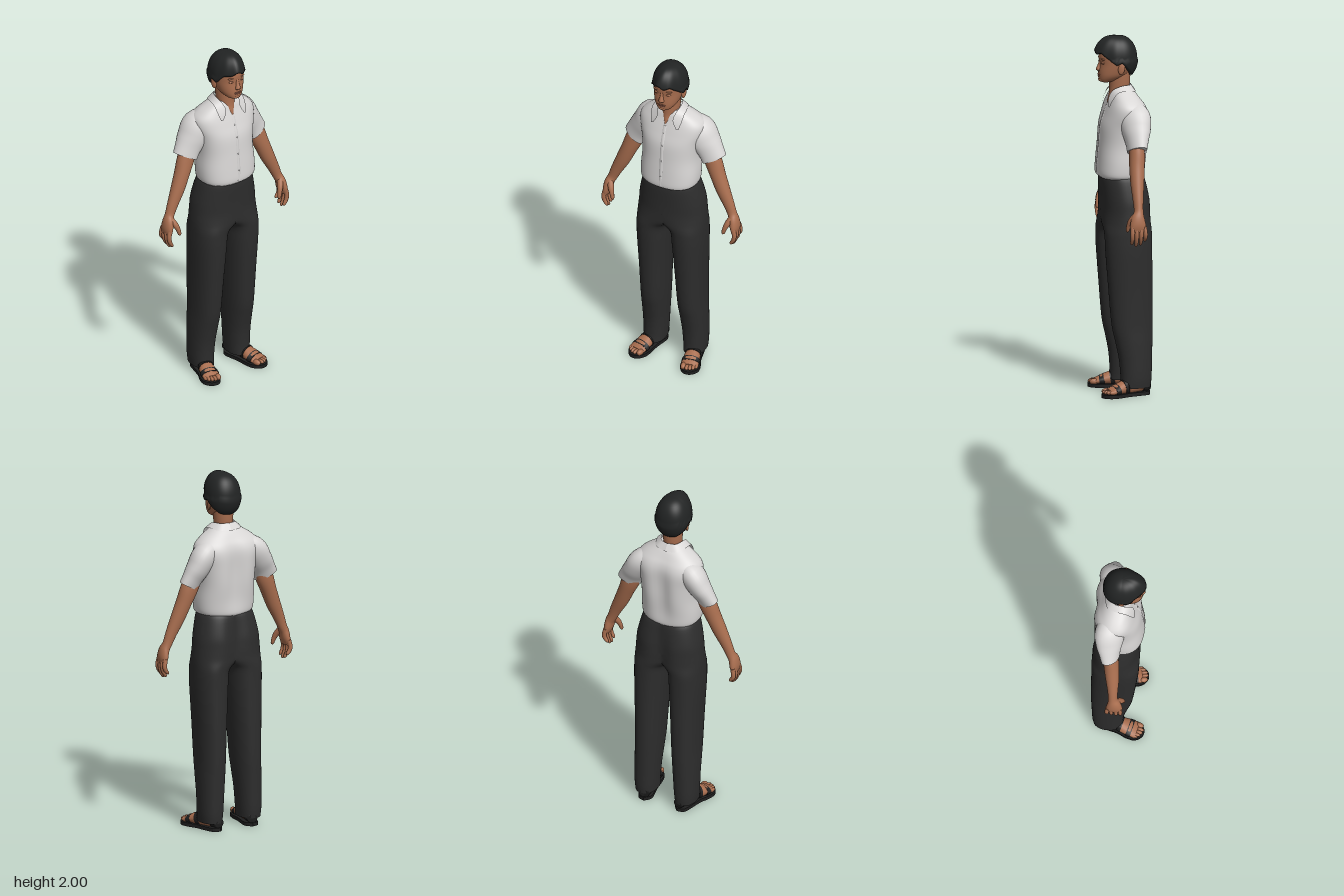
import * as THREE from 'three';

const V3 = (x, y, z) => new THREE.Vector3(x, y, z);
const mat = (name, color, side = THREE.FrontSide) => {
  const m = new THREE.MeshStandardMaterial({ color, side });
  m.name = name;
  return m;
};
const power = (v, p) => Math.sign(v) * Math.abs(v) ** (2 / p);

// Smooth capped loft. Rows are [x, y, z, radiusU, radiusV].
function loft(rows, { n = 28, sub = 4, p = 2, axis = V3(0, 0, 1), flat = false, rule } = {}) {
  const path = new THREE.CatmullRomCurve3(rows.map(r => V3(r[0], r[1], r[2])), false, 'catmullrom', 0.5);
  const size = new THREE.CatmullRomCurve3(rows.map(r => V3(r[3], r[4], 0)), false, 'catmullrom', 0.5);
  const pos = [], idx = [], count = (rows.length - 1) * sub;
  for (let i = 0; i <= count; i++) {
    const t = i / count, c = path.getPoint(t), s = size.getPoint(t);
    const T = path.getPoint(Math.min(1, t + 0.02)).sub(path.getPoint(Math.max(0, t - 0.02)));
    if (flat) T.set(0, Math.sign(T.y), 0);
    T.normalize();
    const V = axis.clone().addScaledVector(T, -axis.dot(T)).normalize();
    const U = V3().crossVectors(V, T);
    for (let j = 0; j < n; j++) {
      const a = j / n * Math.PI * 2;
      const q = c.clone().addScaledVector(U, power(Math.cos(a), p) * s.x).addScaledVector(V, power(Math.sin(a), p) * s.y);
      if (rule) rule(q);
      pos.push(q.x, q.y, q.z);
    }
  }
  for (let i = 0; i < count; i++) for (let j = 0; j < n; j++) {
    const a = i * n + j, b = i * n + (j + 1) % n;
    idx.push(a, b, a + n, b, b + n, a + n);
  }
  // end caps with their own vertices
  for (const i of [0, count]) {
    const base = pos.length / 3, c = path.getPoint(i / count);
    for (let k = 0; k < n * 3; k++) pos.push(pos[i * n * 3 + k]);
    pos.push(c.x, c.y, c.z);
    for (let j = 0; j < n; j++) {
      const a = base + j, b = base + (j + 1) % n;
      i ? idx.push(a, b, base + n) : idx.push(b, a, base + n);
    }
  }
  return surface(pos, idx);
}

function surface(pos, idx) {
  const g = new THREE.BufferGeometry();
  g.setAttribute('position', new THREE.Float32BufferAttribute(pos, 3));
  g.setIndex(idx);
  g.computeVertexNormals();
  return g;
}

function mirrored(geo) {
  const g = geo.clone().scale(-1, 1, 1), ix = g.index;
  for (let i = 0; i < ix.count; i += 3) {
    const b = ix.getX(i + 1);
    ix.setX(i + 1, ix.getX(i + 2));
    ix.setX(i + 2, b);
  }
  return g;
}

// Level cross-section from its extents
const span = (y, x0, x1, zf, zb) => [(x0 + x1) / 2, y, (zf + zb) / 2, (x1 - x0) / 2, (zf - zb) / 2];
const ball = (x, y, z, rx, ry, rz) => new THREE.SphereGeometry(1, 16, 12).scale(rx, ry, rz).translate(x, y, z);
// Vertical hollow down the middle of the back, deepest between two heights
const hollow = (q, depth, y0, y1) => {
  if (q.z < 0 && q.y > y0 && q.y < y1) q.z += depth * Math.exp(-((q.x / 0.055) ** 2)) * Math.sin((q.y - y0) / (y1 - y0) * Math.PI);
};

export function createModel() {
  const group = new THREE.Group();
  const skin = mat('skin', 0xa96e4f), lip = mat('lips', 0x8f5642), hair = mat('hair', 0x222424);
  const shirt = mat('shirt', 0xd8d6d5, THREE.DoubleSide), cloth = mat('trousers', 0x2d2d2d), leather = mat('sandals', 0x1f1f1f);
  const add = (name, geo, m) => {
    const mesh = new THREE.Mesh(geo, m);
    mesh.name = name;
    group.add(mesh);
  };
  const pair = (name, geo, m) => {
    add(name + 'Left', geo, m);
    add(name + 'Right', mirrored(geo), m);
  };

  // Shirt body, hollowed along the spine: [y, half width, front z, back z]
  const torso = [[1.215, 0.15, 0.128, -0.112], [1.235, 0.166, 0.142, -0.12], [1.3, 0.169, 0.139, -0.127],
    [1.4, 0.164, 0.13, -0.14], [1.5, 0.174, 0.121, -0.143], [1.57, 0.192, 0.1, -0.139], [1.615, 0.188, 0.085, -0.124],
    [1.65, 0.155, 0.073, -0.099], [1.68, 0.11, 0.064, -0.075], [1.705, 0.07, 0.05, -0.052]];
  add('shirtBody', loft(torso.map(([y, w, f, b]) => span(y, -w, w, f, b)),
    { n: 56, p: 2.4, flat: true, rule: q => hollow(q, 0.026, 1.22, 1.68) }), shirt);
  add('placket', loft(torso.slice(1, 7).map(([y, , f]) => span(y, -0.014, 0.014, f + 0.002, 0)), { n: 16, p: 5, flat: true }), shirt);
  for (const i of [2, 3, 4, 5]) add('button', ball(0, torso[i][0], torso[i][2] + 0.002, 0.004, 0.004, 0.002), shirt);

  // Sleeves, twisted so the outer side sits further back
  pair('sleeve', loft([[0.06, 1.605, -0.03, 0.05, 0.062], [0.142, 1.56, -0.037, 0.08, 0.082], [0.191, 1.495, -0.037, 0.073, 0.073],
    [0.225, 1.44, -0.032, 0.067, 0.056], [0.247, 1.397, -0.028, 0.066, 0.047]],
  { p: 2.1, rule: q => { q.z -= 0.22 * (q.x - 0.247 + (q.y - 1.397) * 0.6); } }), shirt);

  // Folded collar, as a strip between neck edge and outer edge
  const neckEdge = [[0.07, 1.617, 0.092], [0.047, 1.665, 0.084], [0.055, 1.705, 0.06], [0.062, 1.725, 0.015], [0.045, 1.728, -0.038], [0, 1.728, -0.053]];
  const outerEdge = [[0.084, 1.614, 0.089], [0.094, 1.652, 0.073], [0.098, 1.693, 0.042], [0.093, 1.7, 0], [0.068, 1.693, -0.06], [0, 1.69, -0.078]];
  const collar = [], collarIdx = [];
  const [inner, outer] = [neckEdge, outerEdge].map(e => new THREE.CatmullRomCurve3(e.map(q => V3(...q))));
  for (let i = 0; i <= 20; i++) {
    for (const c of [inner, outer]) collar.push(...c.getPoint(i / 20).toArray());
    if (i) collarIdx.push(i * 2 - 2, i * 2 - 1, i * 2, i * 2, i * 2 - 1, i * 2 + 1);
  }
  pair('collar', surface(collar, collarIdx), shirt);

  // Neck with the open throat
  add('neck', loft([span(1.625, -0.006, 0.006, 0.083, 0.06), span(1.648, -0.025, 0.025, 0.078, 0.01), span(1.68, -0.046, 0.046, 0.07, -0.035),
    span(1.73, -0.053, 0.053, 0.068, -0.046), span(1.8, -0.057, 0.057, 0.07, -0.05)], { flat: true }), skin);

  // Head
  add('head', loft([span(1.744, -0.026, 0.026, 0.115, 0.06), span(1.755, -0.044, 0.044, 0.127, 0.03), span(1.78, -0.064, 0.064, 0.13, -0.02),
    span(1.81, -0.075, 0.075, 0.129, -0.05), span(1.85, -0.083, 0.083, 0.124, -0.065), span(1.89, -0.085, 0.085, 0.126, -0.07),
    span(1.93, -0.08, 0.08, 0.116, -0.07), span(1.965, -0.055, 0.055, 0.085, -0.045), span(1.98, -0.02, 0.02, 0.04, 0)],
  { n: 36, p: 2.2, flat: true }), skin);
  add('nose', loft([[0, 1.872, 0.118, 0.007, 0.006], [0, 1.845, 0.124, 0.009, 0.009], [0, 1.82, 0.129, 0.015, 0.015],
    [0, 1.812, 0.129, 0.017, 0.014], [0, 1.804, 0.125, 0.01, 0.006]], { flat: true, n: 16 }), skin);
  add('upperLip', ball(0, 1.787, 0.127, 0.024, 0.004, 0.007), lip);
  add('lowerLip', ball(0, 1.779, 0.126, 0.019, 0.005, 0.008), lip);
  add('chin', ball(0, 1.758, 0.114, 0.028, 0.013, 0.017), skin);
  pair('eyelid', ball(0.034, 1.856, 0.113, 0.016, 0.008, 0.009), skin);
  pair('eyeLine', ball(0.034, 1.853, 0.119, 0.013, 0.0015, 0.004), lip);
  pair('brow', ball(0.035, 1.877, 0.112, 0.021, 0.005, 0.012), skin);
  pair('ear', ball(0, 0, 0, 0.008, 0.034, 0.019).rotateY(-0.3).rotateX(-0.15).translate(0.084, 1.828, 0.02), skin);

  // Hair cap whose lower edge runs from swept fringe over sideburns to nape
  const hem = [[0, 1.915], [0.55, 1.905], [0.9, 1.885], [1.3, 1.845], [1.55, 1.862], [1.9, 1.82], [2.4, 1.785], [3.2, 1.775]];
  const hemY = a => {
    const k = Math.max(1, hem.findIndex(h => h[0] >= a)), [a0, y0] = hem[k - 1], [a1, y1] = hem[k];
    return y0 + (y1 - y0) * (a - a0) / (a1 - a0);
  };
  const hairPos = [], hairIdx = [], N = 72, M = 20;
  for (let i = 0; i <= M; i++) for (let j = 0; j < N; j++) {
    const a = j / N * Math.PI * 2 - Math.PI, t = Math.min(1, i / (M - 1));
    const front = Math.max(0, Math.cos(a)), tuck = i === M ? 0.82 : 1;
    const lock = front * Math.sin(a * 9 + 1 + 2 * t);
    const low = hemY(Math.abs(a)) + 0.008 * lock;
    const polar = t * Math.acos(Math.max(-0.95, (low - 1.875) / 0.125));
    const r = (Math.sin(polar) ** 0.85) * (1 + 0.03 * t * lock) * tuck * (polar > 1.6 ? 1.05 : 1);
    const depth = 0.104 + 0.036 * front ** 3;
    hairPos.push(power(Math.sin(a), 2.2) * 0.096 * r, 1.875 + 0.125 * Math.cos(polar) + 0.01 * front * Math.sin(t * Math.PI),
      0.018 + power(Math.cos(a), 2.2) * r * depth);
  }
  for (let i = 0; i < M; i++) for (let j = 0; j < N; j++) {
    const a = i * N + j, b = i * N + (j + 1) % N;
    hairIdx.push(a, a + N, b, b, a + N, b + N);
  }
  add('hair', surface(hairPos, hairIdx), hair);

  // Arms, palms, fingers and thumbs
  pair('arm', loft([[0.21, 1.46, -0.03, 0.05, 0.04], [0.243, 1.38, -0.027, 0.052, 0.043], [0.273, 1.305, -0.02, 0.045, 0.042],
    [0.308, 1.22, -0.013, 0.041, 0.037], [0.345, 1.14, -0.008, 0.033, 0.029], [0.37, 1.08, -0.005, 0.027, 0.026],
    [0.386, 1.045, 0.002, 0.026, 0.037], [0.394, 1.005, 0.004, 0.024, 0.045], [0.398, 0.97, 0.004, 0.015, 0.042]]), skin);
  [[-0.036, 0.915], [-0.011, 0.895], [0.014, 0.888], [0.038, 0.9]].forEach(([z, tip], k) =>
    pair('finger' + (k + 1), loft([[0.398, 1.0, z * 0.9, 0.013, 0.012], [0.405, 0.962, z, 0.013, 0.012], [0.4, (tip + 0.965) / 2, z, 0.012, 0.011],
      [0.386, tip + 0.008, z, 0.009, 0.009], [0.382, tip, z, 0.003, 0.003]], { n: 12 }), skin));
  pair('thumb', loft([[0.38, 1.065, 0.008, 0.018, 0.018], [0.362, 1.03, 0.034, 0.017, 0.017], [0.35, 1.0, 0.046, 0.013, 0.013],
    [0.343, 0.972, 0.051, 0.01, 0.009], [0.342, 0.963, 0.052, 0.003, 0.003]], { n: 12 }), skin);

  // Trousers: each half runs from waist to cuff, cut flush at the middle seam
  const half = loft([span(1.235, -0.148, 0.148, 0.115, -0.105), span(1.2, -0.165, 0.165, 0.124, -0.126), span(1.1, -0.188, 0.188, 0.121, -0.148),
    span(1.03, -0.195, 0.195, 0.12, -0.152), span(0.975, -0.13, 0.199, 0.12, -0.148), span(0.93, -0.03, 0.2, 0.119, -0.145), span(0.89, 0.008, 0.2, 0.118, -0.144),
    span(0.8, 0.018, 0.199, 0.115, -0.144), span(0.6, 0.031, 0.191, 0.1, -0.147), span(0.4, 0.041, 0.186, 0.083, -0.147),
    span(0.3, 0.047, 0.187, 0.062, -0.144), span(0.2, 0.054, 0.187, 0.042, -0.141), span(0.1, 0.06, 0.186, 0.034, -0.138),
    span(0.045, 0.064, 0.182, 0.036, -0.132)],
  { n: 56, p: 2.3, flat: true, rule: q => { q.x = Math.max(0, q.x); hollow(q, 0.028, 0.86, 1.26); } });
  const at = half.attributes.position, kept = [];
  for (let i = 0; i < half.index.count; i += 3) {
    const face = [0, 1, 2].map(k => half.index.getX(i + k));
    if (face.some(v => at.getX(v) > 0)) kept.push(...face);
  }
  half.setIndex(kept);
  half.computeVertexNormals();
  for (let i = 0; i < at.count; i++) {
    const nz = half.attributes.normal.getZ(i);
    if (at.getX(i) === 0 && at.getY(i) > 0.96 && nz) half.attributes.normal.setXYZ(i, 0, 0, Math.sign(nz));
  }
  pair('trouserHalf', half, cloth);

  // Feet and sandals, modelled straight and then turned out
  const place = g => g.rotateY(0.24).translate(0.139, 0, 0.01);
  const outline = new THREE.Shape();
  outline.setFromPoints(new THREE.SplineCurve([[0, -0.148], [0.036, -0.125], [0.041, -0.06], [0.042, 0], [0.054, 0.06], [0.05, 0.11], [0.015, 0.142],
    [-0.025, 0.138], [-0.052, 0.1], [-0.054, 0.05], [-0.044, -0.02], [-0.039, -0.115], [0, -0.148]].map(q => new THREE.Vector2(q[0], -q[1]))).getPoints(48).reverse());
  const sole = new THREE.ExtrudeGeometry(outline, { depth: 0.02, bevelEnabled: false }).rotateX(-Math.PI / 2);
  sole.setIndex([...Array(sole.attributes.position.count).keys()]);
  pair('sandalSole', place(sole), leather);
  const along = { axis: V3(0, 1, 0), n: 20 };
  pair('foot', place(loft([[0, 0.043, -0.13, 0.02, 0.02], [0, 0.05, -0.09, 0.034, 0.032], [0, 0.053, -0.02, 0.036, 0.042],
    [0, 0.044, 0.04, 0.046, 0.032], [0, 0.034, 0.085, 0.049, 0.021], [0, 0.031, 0.105, 0.045, 0.014]], along)), skin);
  [[-0.032, 0.108, 0.016], [-0.01, 0.117, 0.011], [0.008, 0.115, 0.011], [0.025, 0.107, 0.011], [0.039, 0.095, 0.01]].forEach(([x, z, r], k) =>
    pair('toe' + (k + 1), place(ball(x, 0.031, z, r, r + 0.001, 0.025)), skin));
  pair('toeStrap', place(loft([[0, 0.04, 0.05, 0.05, 0.032], [0, 0.037, 0.063, 0.052, 0.028], [0, 0.035, 0.078, 0.052, 0.025]], along)), leather);
  pair('ankleStrap', place(loft([[0, 0.053, -0.005, 0.04, 0.044], [0, 0.049, 0.018, 0.045, 0.041]], along)), leather);
  pair('heelStrap', place(loft([[0, 0.043, -0.142, 0.028, 0.026], [0, 0.048, -0.1, 0.038, 0.03]], along)), leather);
  return group;
}
